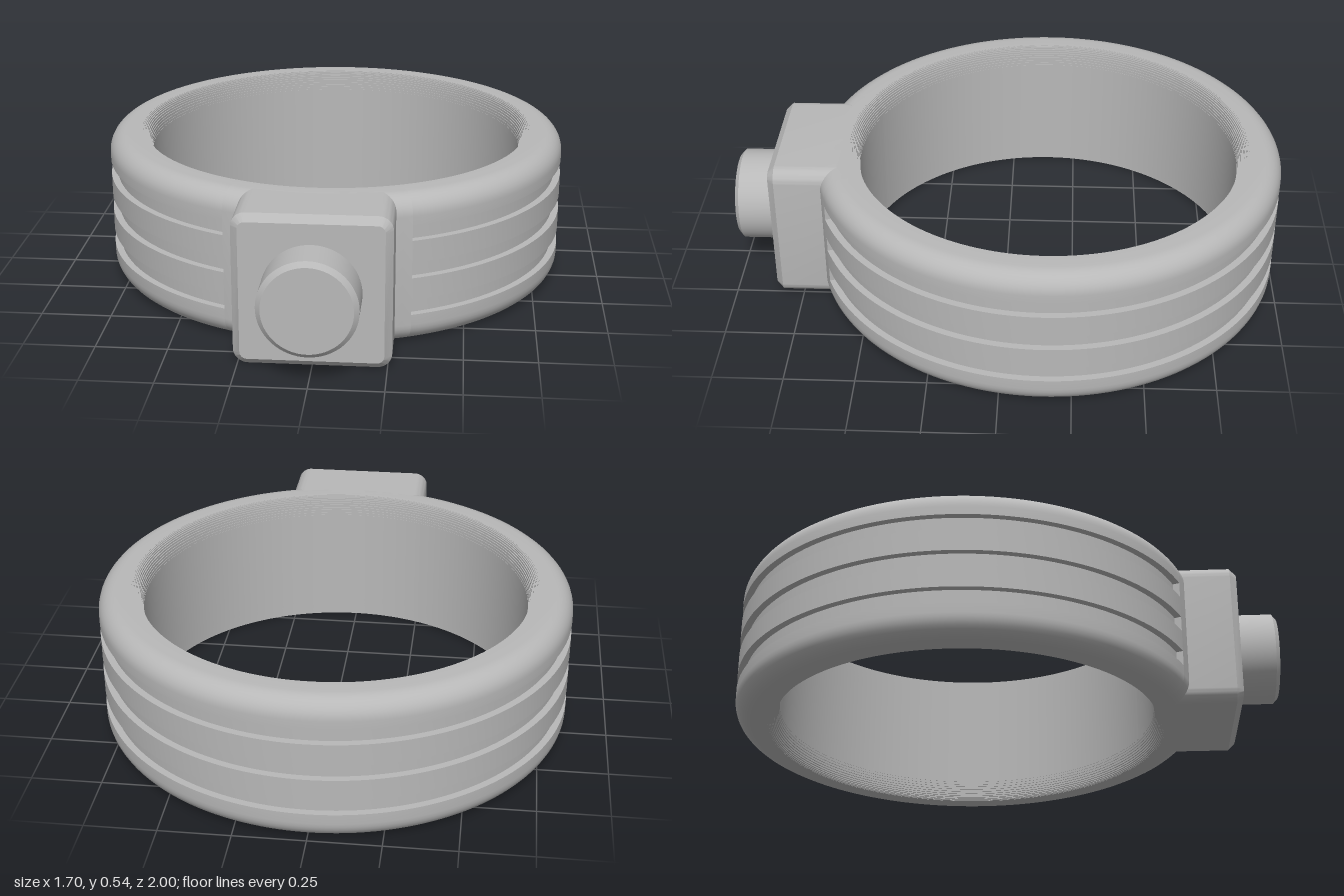
import * as THREE from 'three';
import { toCreasedNormals } from 'three/addons/utils/BufferGeometryUtils.js';

const H = 0.535, R = 0.85, INNER = 0.69, FLOOR = 0.825, CENTRE_Z = -0.15;
const GROOVES = [[0.107, 0.163], [0.242, 0.298], [0.378, 0.434]];
const FRONT_ANGLE = Math.asin(0.32 / R); // half angle of the ungrooved front

// Closed cross-section of the band, anticlockwise from the inner bottom
function bandProfile(grooved) {
  const upper = [];
  const fillet = 0.07, lipW = 0.04, lipH = 0.08, steps = 12;
  // rounded outer edge
  for (let i = 0; i <= 8; i++) {
    const t = (i / 8) * Math.PI / 2;
    upper.push([R - fillet + fillet * Math.cos(t), H - fillet + fillet * Math.sin(t)]);
  }
  // finely stepped inner lip
  const lip = (i) => {
    const t = (1 - i / steps) * Math.PI / 2;
    return [INNER + lipW - lipW * Math.cos(t), H - lipH + lipH * Math.sin(t)];
  };
  upper.push(lip(0));
  for (let i = 0; i < steps; i++) {
    const [r] = lip(i), [r2, y2] = lip(i + 1);
    upper.push([r, y2]);
    if (i < steps - 1) upper.push([r2, y2]);
  }
  const lower = upper.map(([r, y]) => [r, H - y]).reverse();
  const side = grooved
    ? GROOVES.flatMap(([a, b]) => [[R, a], [FLOOR, a], [FLOOR, b], [R, b]])
    : [];
  const points = [...lower, ...side, ...upper];
  points.push(points[0]);
  return points.map(([r, y]) => new THREE.Vector2(r, y));
}

export function createModel() {
  const model = new THREE.Group();
  const metal = new THREE.MeshStandardMaterial({ color: 0xb8b8b8 });
  metal.name = 'greyMetal';
  metal.side = THREE.DoubleSide;

  const add = (name, geometry, parent = model) => {
    const mesh = new THREE.Mesh(geometry, metal);
    mesh.name = name;
    parent.add(mesh);
    return mesh;
  };

  // Ring band: long grooved sweep plus a plain sweep at the front
  const band = new THREE.Group();
  band.name = 'band';
  band.position.z = CENTRE_Z;
  model.add(band);
  const sweep = (grooved, segments, start, length) =>
    toCreasedNormals(new THREE.LatheGeometry(bandProfile(grooved), segments, start, length), 0.5);
  add('groovedBand', sweep(true, 140, FRONT_ANGLE, 2 * Math.PI - 2 * FRONT_ANGLE), band);
  add('plainFrontBand', sweep(false, 20, -FRONT_ANGLE, 2 * FRONT_ANGLE), band);

  // Walls closing both ends of each groove
  for (const side of [-1, 1]) {
    for (const [a, b] of GROOVES) {
      const wall = add('grooveEnd', new THREE.PlaneGeometry(R - FLOOR, b - a), band);
      const phi = side * FRONT_ANGLE, r = (R + FLOOR) / 2;
      wall.position.set(r * Math.sin(phi), (a + b) / 2, r * Math.cos(phi));
      wall.rotation.y = phi - Math.PI / 2;
    }
  }

  // Front block with a chamfered face
  const bevel = 0.025, hw = 0.24, hh = H / 2 - bevel, c = 0.025;
  const outline = new THREE.Shape();
  outline.absarc(hw - c, hh - c, c, 0, Math.PI / 2);
  outline.absarc(c - hw, hh - c, c, Math.PI / 2, Math.PI);
  outline.absarc(c - hw, c - hh, c, Math.PI, Math.PI * 1.5);
  outline.absarc(hw - c, c - hh, c, Math.PI * 1.5, Math.PI * 2);
  outline.closePath();
  const back = 0.575, front = 0.85;
  const block = new THREE.ExtrudeGeometry(outline, {
    depth: front - back - 2 * bevel, curveSegments: 6,
    bevelEnabled: true, bevelSize: bevel, bevelThickness: bevel, bevelSegments: 1,
  });
  block.translate(0, H / 2, back + bevel);
  add('frontBlock', toCreasedNormals(block, 0.5));

  // Round button with a chamfered rim
  const button = new THREE.LatheGeometry(
    [[0.167, 0], [0.167, 0.165], [0.15, 0.18], [0, 0.18]].map(([r, y]) => new THREE.Vector2(r, y)), 64);
  button.rotateX(Math.PI / 2);
  button.translate(0, 0.272, 0.82);
  add('button', toCreasedNormals(button, 0.5));

  return model;
}
